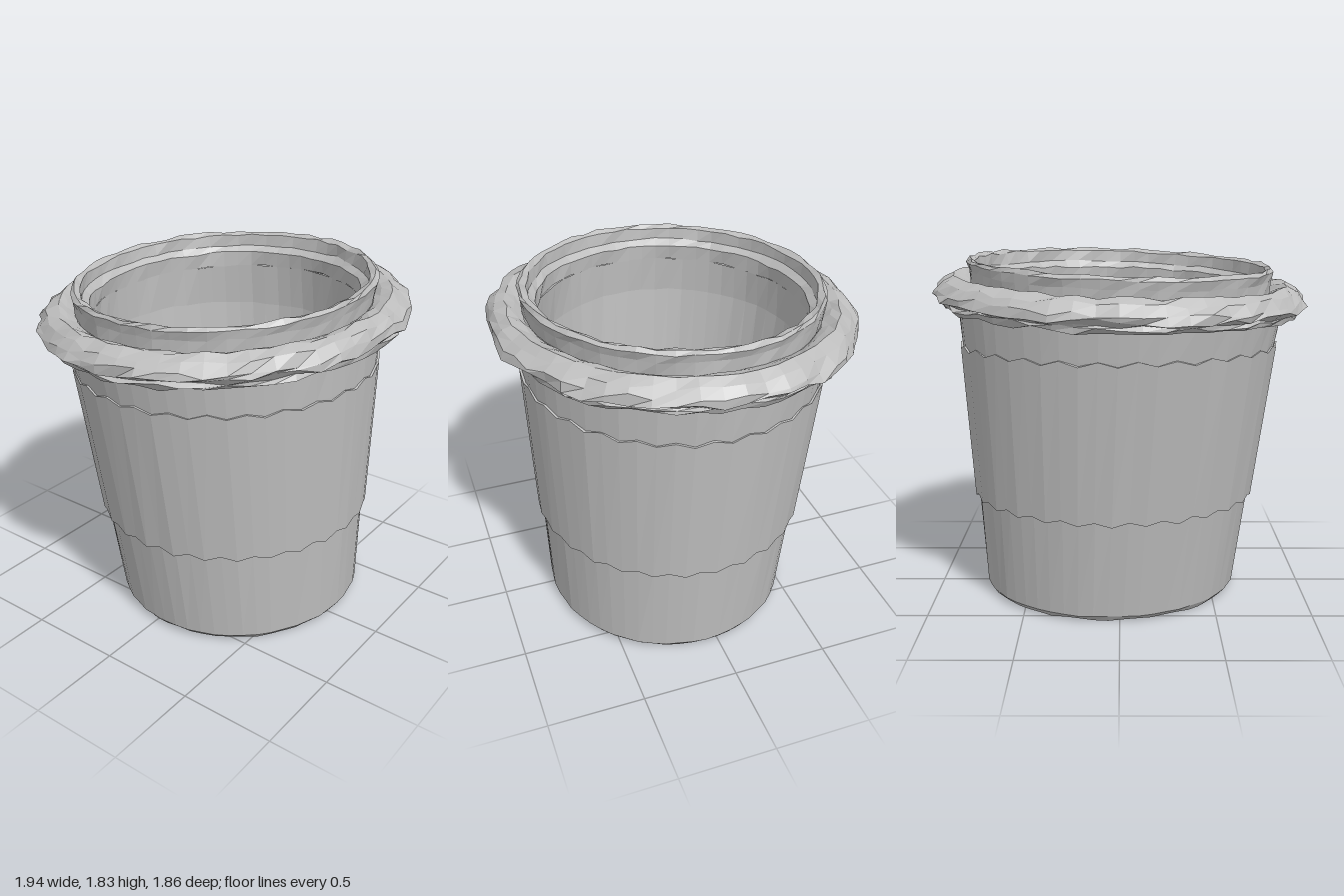
import * as THREE from 'three';

const SEG = 56;

// small seeded generator for the hand-worn unevenness
function seeded(seed) {
  return () => {
    seed = (seed * 16807) % 2147483647;
    return seed / 2147483647 - 0.5;
  };
}

// Skin between oval rings; each ring is { y, rx, rz, wobble, zigzag }.
// The axis leans slightly and higher rings tilt up toward front left.
function loft(rings, seed) {
  const rand = seeded(seed);
  const pos = [], index = [];
  for (const { y, rx, rz, wobble = 0, zigzag = 0 } of rings) {
    const t = Math.min(y / 1.55, 1);
    const cx = 0.06 * (1 - t), cz = 0.07 - 0.075 * t;
    const tilt = 0.032 * THREE.MathUtils.smoothstep(y, 1.38, 1.6);
    for (let i = 0; i < SEG; i++) {
      const a = (i / SEG) * Math.PI * 2;
      const d = wobble * rand();
      const x = cx + Math.sin(a) * (rx + (rx ? d : 0));
      const z = cz + Math.cos(a) * (rz + (rz ? d : 0));
      const dy = wobble * rand() + zigzag * (i % 2 ? 1 : -1);
      pos.push(x, y + tilt * (x + z) + dy, z);
    }
  }
  for (let r = 0; r < rings.length - 1; r++) {
    for (let i = 0; i < SEG; i++) {
      const j = (i + 1) % SEG;
      const a = r * SEG + i, b = r * SEG + j, c = a + SEG, d = b + SEG;
      index.push(a, b, d, a, d, c);
    }
  }
  const g = new THREE.BufferGeometry();
  g.setAttribute('position', new THREE.Float32BufferAttribute(pos, 3));
  g.setIndex(index);
  const flat = g.toNonIndexed();
  flat.computeVertexNormals();
  return flat;
}

const ring = (y, rx, rz, wobble, zigzag) => ({ y, rx, rz, wobble, zigzag });

export function createModel() {
  const group = new THREE.Group();
  const grey = new THREE.MeshStandardMaterial({ color: 0xbdbdbd });
  grey.name = 'plainGrey';
  grey.side = THREE.DoubleSide;
  grey.flatShading = true;

  const add = (name, rings, seed) => {
    const mesh = new THREE.Mesh(loft(rings, seed), grey);
    mesh.name = name;
    group.add(mesh);
  };

  // tapered outer wall with a shallow recessed base
  add('outerWall', [
    ring(0.04, 0, 0),
    ring(0.04, 0.56, 0.53, 0.01),
    ring(0.012, 0.61, 0.575, 0.008),
    ring(0.012, 0.67, 0.63, 0.008),
    ring(0.04, 0.695, 0.655, 0.006),
    ring(0.56, 0.742, 0.695, 0.006),
    ring(1.38, 0.832, 0.772, 0.006),
    ring(1.58, 0.855, 0.785, 0.006),
  ], 11);

  // thin wrapped sleeve with ragged edges
  add('sleeve', [
    ring(0.56, 0.742, 0.695, 0.004, 0.012),
    ring(0.56, 0.764, 0.717, 0.006, 0.012),
    ring(1.375, 0.842, 0.782, 0.006, 0.012),
    ring(1.375, 0.83, 0.77, 0.004, 0.012),
  ], 23);

  // rolled lid rim with a thin lower flange
  add('lidRim', [
    ring(1.58, 0.84, 0.775),
    ring(1.555, 0.87, 0.82, 0.015),
    ring(1.56, 0.925, 0.88, 0.025),
    ring(1.585, 0.945, 0.9, 0.03),
    ring(1.595, 0.93, 0.89, 0.02),
    ring(1.615, 0.972, 0.93, 0.035),
    ring(1.65, 0.965, 0.925, 0.03),
    ring(1.69, 0.925, 0.885, 0.025),
    ring(1.715, 0.87, 0.83, 0.02),
    ring(1.7, 0.825, 0.785, 0.015),
    ring(1.675, 0.785, 0.75, 0.01),
  ], 37);

  // raised collar around the open mouth
  add('mouthCollar', [
    ring(1.67, 0.785, 0.75, 0.01),
    ring(1.74, 0.79, 0.755, 0.012),
    ring(1.785, 0.8, 0.765, 0.012),
    ring(1.802, 0.785, 0.75, 0.015),
    ring(1.79, 0.755, 0.72, 0.015),
    ring(1.73, 0.75, 0.715, 0.012),
    ring(1.7, 0.715, 0.68, 0.015),
    ring(1.62, 0.72, 0.685, 0.01),
  ], 53);

  // inner wall and floor
  add('innerWall', [
    ring(1.62, 0.72, 0.685, 0.01),
    ring(1.4, 0.735, 0.695, 0.008),
    ring(0.55, 0.685, 0.645, 0.008),
    ring(0.2, 0.645, 0.61, 0.008),
    ring(0.1, 0.57, 0.535, 0.012),
    ring(0.075, 0.42, 0.4, 0.012),
    ring(0.075, 0, 0),
  ], 71);

  return group;
}
